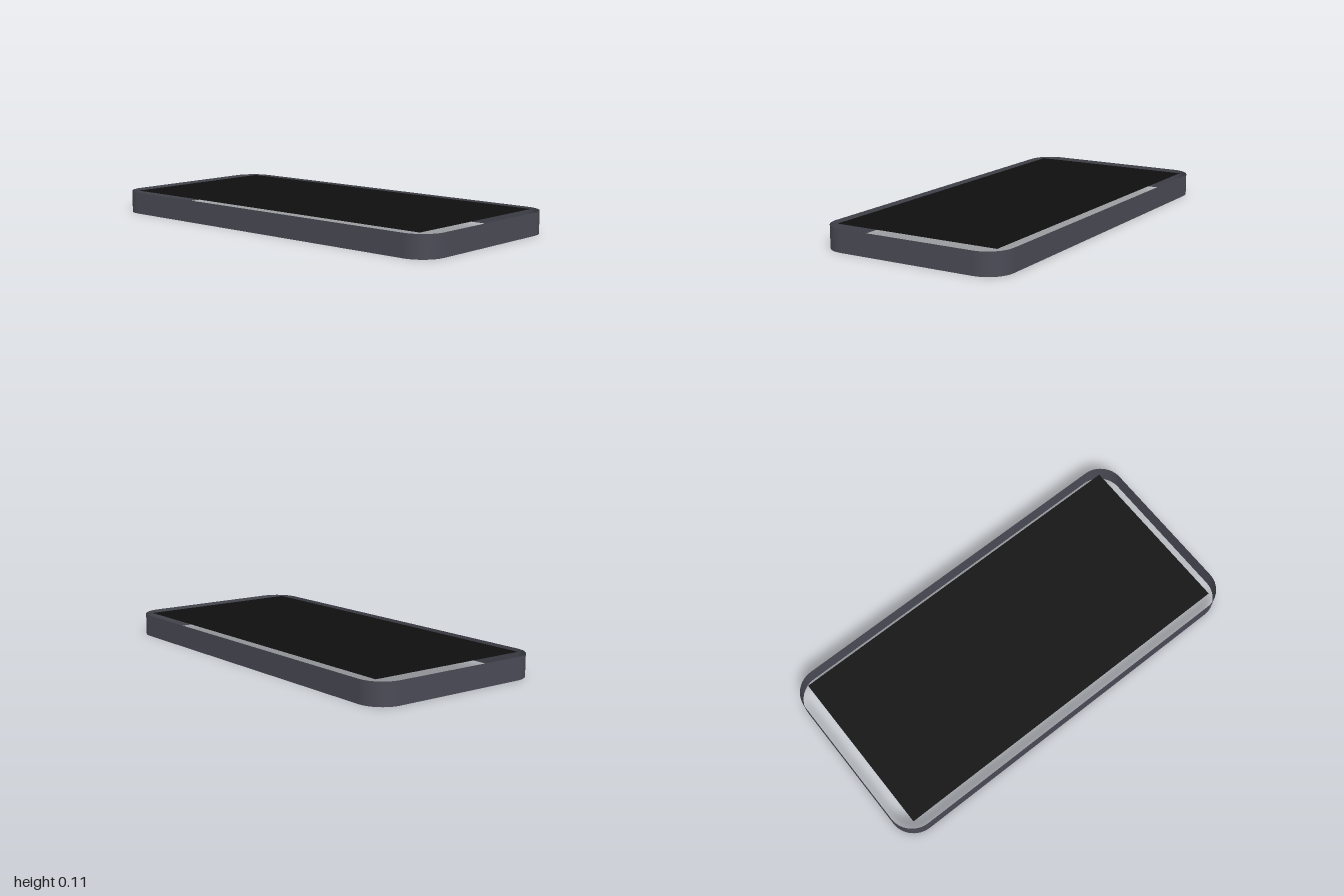
import * as THREE from 'three';

const HALF_X = 1, HALF_Z = 0.477, HEIGHT = 0.11, RADIUS = 0.125, STEPS = 12;

// Open band following a rounded rectangle, with exact smooth normals
function roundedBand() {
  const position = [], normal = [], index = [];
  const count = 4 * (STEPS + 1);
  for (let corner = 0; corner < 4; corner++) {
    const sx = corner === 0 || corner === 3 ? 1 : -1;
    const sz = corner < 2 ? 1 : -1;
    for (let i = 0; i <= STEPS; i++) {
      const a = (corner + i / STEPS) * Math.PI / 2;
      const nx = Math.cos(a), nz = Math.sin(a);
      const x = sx * (HALF_X - RADIUS) + nx * RADIUS;
      const z = sz * (HALF_Z - RADIUS) + nz * RADIUS;
      position.push(x, 0, z, x, HEIGHT, z);
      normal.push(nx, 0, nz, nx, 0, nz);
    }
  }
  for (let i = 0; i < count; i++) {
    const a = 2 * i, c = 2 * ((i + 1) % count);
    index.push(a, a + 1, c + 1, a, c + 1, c);
  }
  const geometry = new THREE.BufferGeometry();
  geometry.setAttribute('position', new THREE.Float32BufferAttribute(position, 3));
  geometry.setAttribute('normal', new THREE.Float32BufferAttribute(normal, 3));
  geometry.setIndex(index);
  return geometry;
}

export function createModel() {
  const model = new THREE.Group();
  model.name = 'slabDevice';

  const frameGrey = new THREE.MeshStandardMaterial({ name: 'frameGrey', color: 0x4a4a55, side: THREE.DoubleSide });
  const screenBlack = new THREE.MeshStandardMaterial({ name: 'screenBlack', color: 0x0f0f0f, side: THREE.DoubleSide });

  // Side frame, open above and below
  const frame = new THREE.Mesh(roundedBand(), frameGrey);
  frame.name = 'sideFrame';
  model.add(frame);

  // Flat screen level with the top of the frame
  const screen = new THREE.Mesh(new THREE.PlaneGeometry(1.852, 0.854).rotateX(-Math.PI / 2), screenBlack);
  screen.name = 'screen';
  screen.position.y = HEIGHT;
  model.add(screen);

  return model;
}
